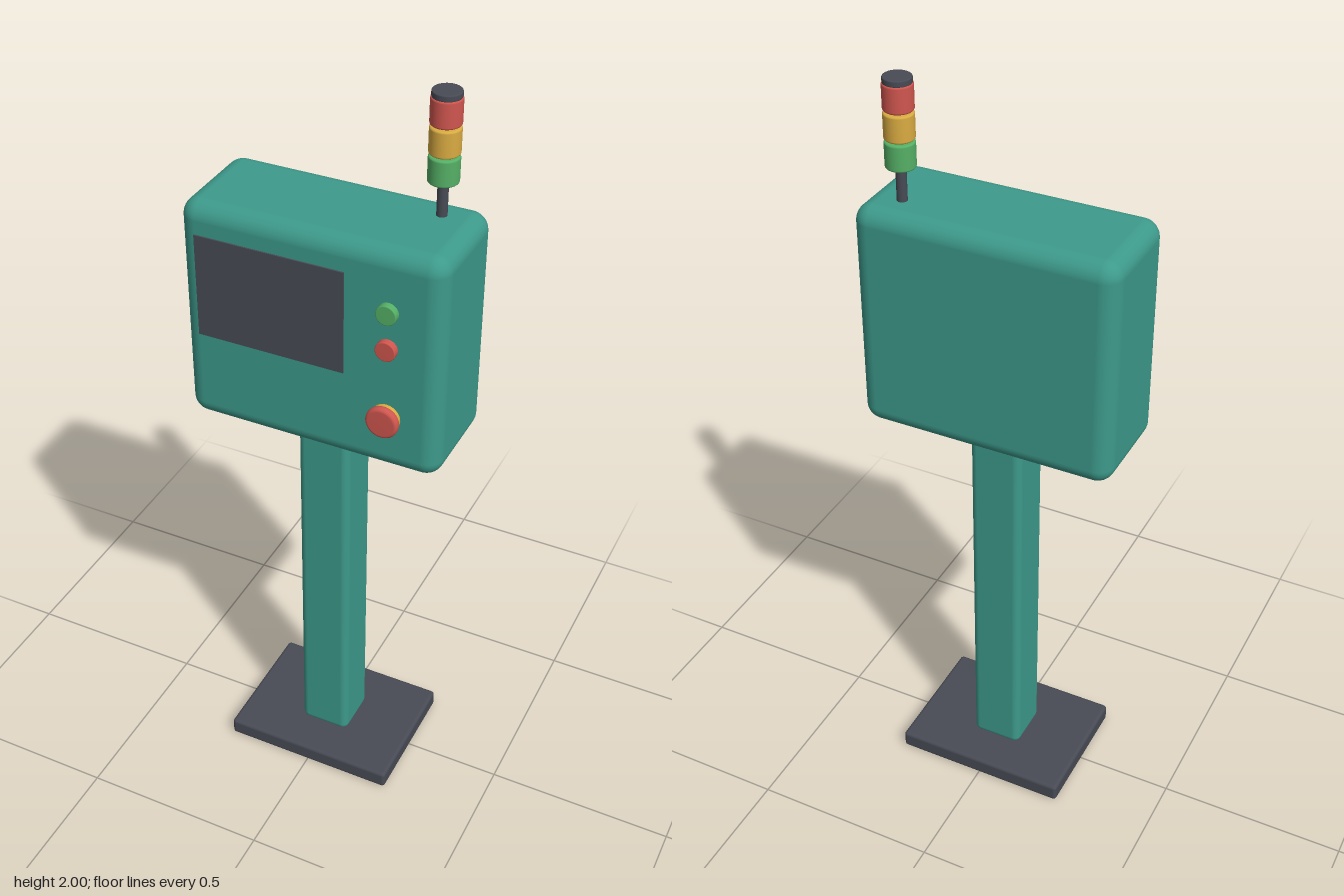
import * as THREE from 'three';
import { RoundedBoxGeometry } from 'three/addons/geometries/RoundedBoxGeometry.js';

const paint = (name, color) => {
  const m = new THREE.MeshStandardMaterial({ color });
  m.name = name;
  return m;
};

export function createModel() {
  const teal = paint('teal', 0x3d9a8b);
  const dark = paint('dark grey', 0x484b55);
  const red = paint('red', 0xd0564f);
  const yellow = paint('yellow', 0xd9ab42);
  const green = paint('green', 0x55b066);

  const model = new THREE.Group();
  model.name = 'controlPedestal';

  const add = (name, geometry, material, x, y, z, parent = model) => {
    const mesh = new THREE.Mesh(geometry, material);
    mesh.name = name;
    mesh.position.set(x, y, z);
    parent.add(mesh);
    return mesh;
  };

  // Disc from y = 0 to h with a rounded rim of size b at both ends
  const disc = (r, h, b) => {
    const pts = [new THREE.Vector2(0, 0)];
    for (const [cy, start] of [[b, -Math.PI / 2], [h - b, 0]]) {
      for (let i = 0; i <= 4; i++) {
        const a = start + (i / 4) * (Math.PI / 2);
        pts.push(new THREE.Vector2(r - b + b * Math.cos(a), cy + b * Math.sin(a)));
      }
    }
    pts.push(new THREE.Vector2(0, h));
    return new THREE.LatheGeometry(pts, 32);
  };

  // Stand and cabinet
  add('basePlate', new RoundedBoxGeometry(0.48, 0.05, 0.36, 3, 0.01), dark, 0, 0.025, 0);
  add('post', new RoundedBoxGeometry(0.14, 1.1, 0.14, 4, 0.02), teal, 0, 0.59, 0);
  add('cabinet', new RoundedBoxGeometry(0.674, 0.6, 0.286, 6, 0.045), teal, 0, 1.395, 0);
  add('screen', new THREE.BoxGeometry(0.385, 0.272, 0.008), dark, -0.1, 1.48, 0.143);

  // Front controls, facing +z
  const control = (name, r, h, b, material, y, z) => {
    add(name, disc(r, h, b), material, 0.203, y, z).rotation.x = Math.PI / 2;
  };
  control('startButton', 0.026, 0.025, 0.003, green, 1.54, 0.135);
  control('stopButton', 0.026, 0.025, 0.003, red, 1.443, 0.135);
  control('emergencyCollar', 0.037, 0.02, 0.002, yellow, 1.25, 0.135);
  control('emergencyButton', 0.042, 0.022, 0.009, red, 1.25, 0.153);

  // Signal tower
  const tower = new THREE.Group();
  tower.name = 'signalTower';
  tower.position.set(0.24, 0, -0.06);
  model.add(tower);
  add('towerPole', new THREE.CylinderGeometry(0.013, 0.013, 0.31, 20), dark, 0, 1.835, 0, tower);
  [['greenLamp', green], ['yellowLamp', yellow], ['redLamp', red]].forEach(([name, material], i) => {
    add(name, disc(0.037, 0.066, 0.005), material, 0, 1.78 + i * 0.07, 0, tower);
  });
  add('towerCap', disc(0.035, 0.016, 0.003), dark, 0, 1.984, 0, tower);

  return model;
}
